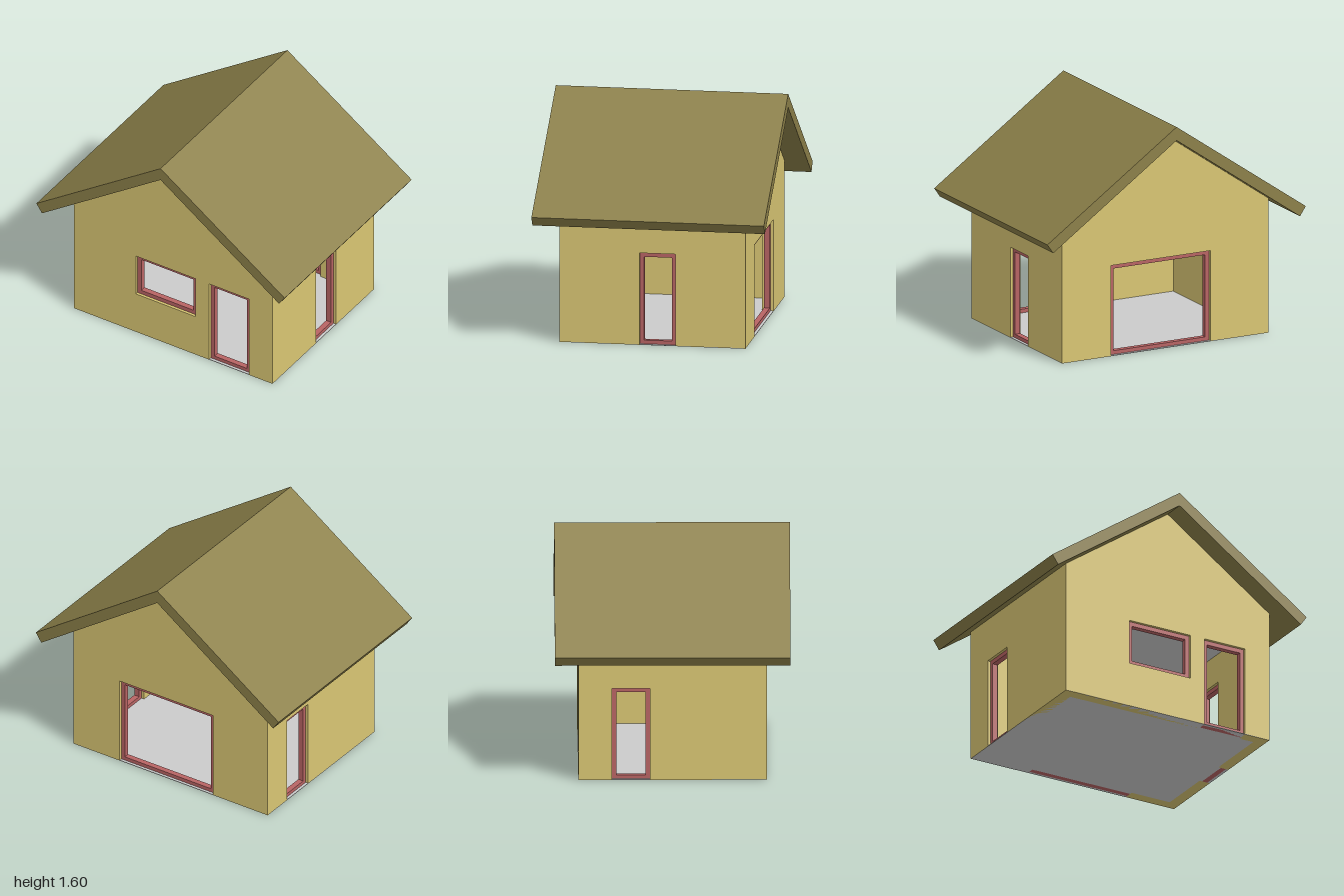
import * as THREE from 'three';

const WALL = 0.08;   // wall thickness
const FRAME = 0.03;  // visible width of the opening frames
const HALF_X = 0.8, HALF_Z = 0.64;
const EAVE = 0.95, GABLE = 1.505, CEILING = 0.85;

const material = (color) => new THREE.MeshStandardMaterial({ color });

const polygon = (points) => points.map(([x, y]) => new THREE.Vector2(x, y));

const rect = (x0, x1, y0, y1) => polygon([[x0, y0], [x1, y0], [x1, y1], [x0, y1]]);

function extrude(name, outline, holes, depth, mat) {
  const shape = new THREE.Shape(outline);
  for (const h of holes) shape.holes.push(new THREE.Path(h));
  const mesh = new THREE.Mesh(
    new THREE.ExtrudeGeometry(shape, { depth, bevelEnabled: false }), mat);
  mesh.name = name;
  return mesh;
}

// Outline of a wall whose doors are notches reaching down to the ground
function wallOutline(half, doors, top) {
  const points = [[-half, 0]];
  for (const [a, b, , h] of doors) points.push([a, 0], [a, h], [b, h], [b, 0]);
  return polygon([...points, [half, 0], ...top]);
}

// Wall with openings [from, to, bottom, top] and a recessed frame in each
function buildWall(name, half, top, openings, mats) {
  const group = new THREE.Group();
  group.name = name;
  const doors = openings.filter((o) => o[2] === 0);
  const windows = openings.filter((o) => o[2] > 0);
  group.add(extrude(name + 'Panel', wallOutline(half, doors, top),
    windows.map((o) => rect(...o)), WALL, mats.wall));
  for (const [a, b, y0, y1] of openings) {
    const frame = extrude(y0 > 0 ? 'windowFrame' : 'doorFrame', rect(a, b, y0, y1),
      [rect(a + FRAME, b - FRAME, y0 + FRAME, y1 - FRAME)], WALL / 2, mats.frame);
    frame.position.z = WALL / 4;
    group.add(frame);
  }
  return group;
}

function slab(name, thickness, y, halfX, halfZ, mat) {
  const mesh = new THREE.Mesh(new THREE.BoxGeometry(2 * halfX, thickness, 2 * halfZ), mat);
  mesh.name = name;
  mesh.position.y = y + thickness / 2;
  return mesh;
}

export function createModel() {
  const house = new THREE.Group();
  house.name = 'house';
  const mats = {
    wall: material(0xd9c673),
    frame: material(0xb86464),
    roof: material(0x8c8049),
    slab: material(0xcccccc),
  };

  // Gable walls at the front and back
  const gableTop = [[HALF_X, EAVE], [0, GABLE], [-HALF_X, EAVE]];
  const front = buildWall('frontWall', HALF_X, gableTop,
    [[-0.3, 0.18, 0.32, 0.64], [0.29, 0.61, 0, 0.64]], mats);
  front.position.z = HALF_Z - WALL;
  const back = buildWall('backWall', HALF_X, gableTop, [[-0.35, 0.42, 0, 0.64]], mats);
  back.position.z = -HALF_Z;

  // Side walls fit between the gable walls; local x becomes z
  const sideHalf = HALF_Z - WALL;
  const sideTop = [[sideHalf, EAVE], [-sideHalf, EAVE]];
  const left = buildWall('leftWall', sideHalf, sideTop, [[-0.16, 0.09, 0, 0.64]], mats);
  left.position.x = HALF_X;
  const right = buildWall('rightWall', sideHalf, sideTop, [[-0.41, -0.155, 0, 0.64]], mats);
  right.position.x = -HALF_X + WALL;
  for (const wall of [left, right]) wall.rotation.y = -Math.PI / 2;

  // Roof with overhanging eaves
  const roof = extrude('roof', polygon([[0, 1.6], [-1, 0.905], [-0.955, 0.84],
    [0, GABLE], [0.955, 0.84], [1, 0.905]]), [], 1.6, mats.roof);
  roof.position.z = -0.8;

  house.add(front, back, left, right, roof,
    slab('floor', 0.004, 0, HALF_X, HALF_Z, mats.slab),
    slab('ceiling', 0.06, CEILING, HALF_X - WALL, sideHalf, mats.slab));
  return house;
}
